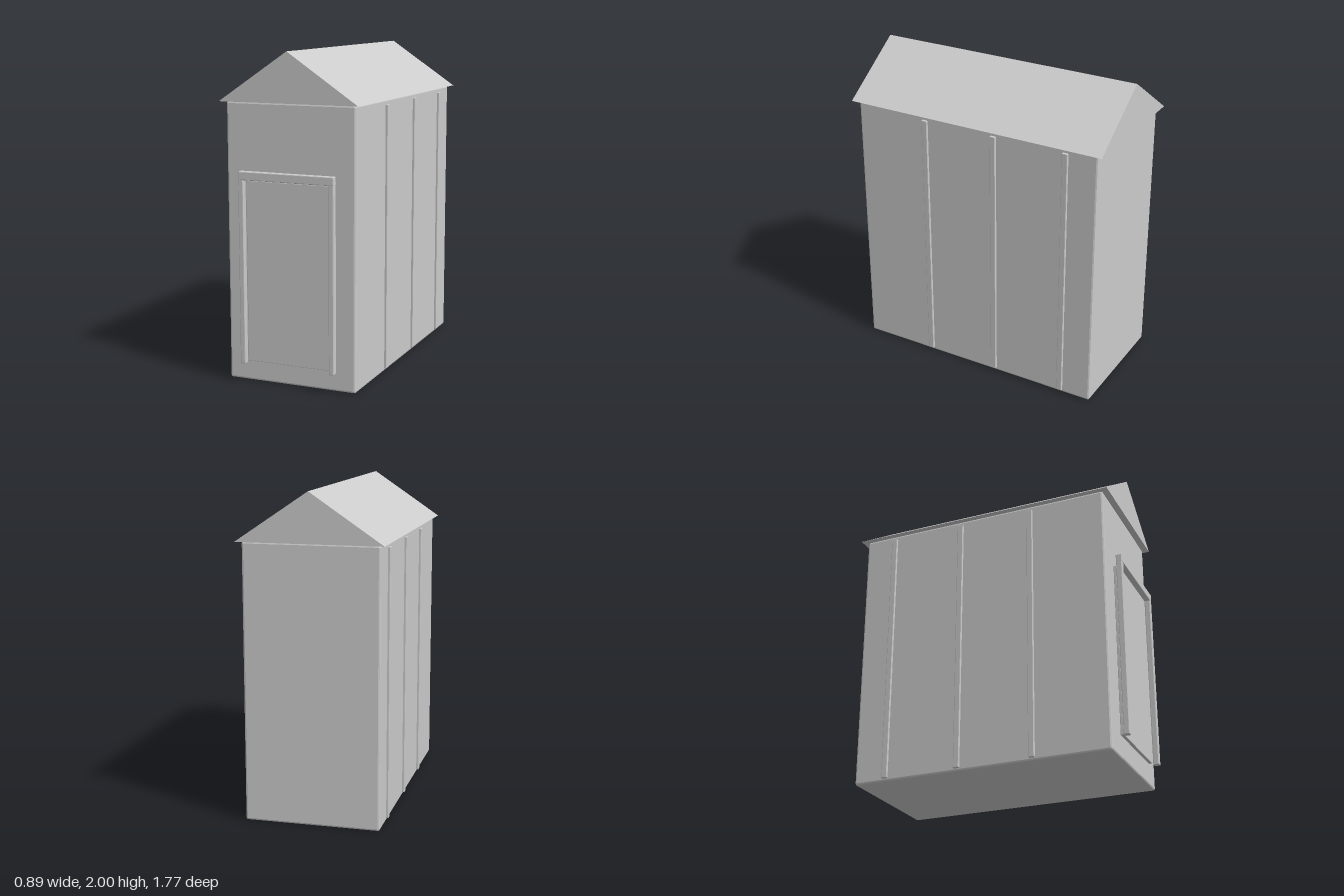
import * as THREE from 'three';
import { RoundedBoxGeometry } from 'three/addons/geometries/RoundedBoxGeometry.js';

const material = new THREE.MeshStandardMaterial({ color: 0xcccccc, flatShading: true });

// Box with slightly chamfered edges, given by its limits on each axis
function chamferedBox(name, [x0, x1], [y0, y1], [z0, z1], bevel) {
  const geometry = new RoundedBoxGeometry(x1 - x0, y1 - y0, z1 - z0, 1, bevel);
  const mesh = new THREE.Mesh(geometry, material);
  mesh.name = name;
  mesh.position.set((x0 + x1) / 2, (y0 + y1) / 2, (z0 + z1) / 2);
  return mesh;
}

export function createModel() {
  const shed = new THREE.Group();
  shed.name = 'shed';

  // Walls
  shed.add(chamferedBox('walls', [-0.415, 0.415], [0, 1.7], [-0.847, 0.81], 0.012));

  // Gabled roof: a closed triangular prism
  const gable = new THREE.Shape();
  gable.moveTo(-0.445, 1.7);
  gable.lineTo(0.445, 1.7);
  gable.lineTo(0, 2);
  gable.closePath();
  const roof = new THREE.Mesh(
    new THREE.ExtrudeGeometry(gable, { depth: 1.73, bevelEnabled: false }), material);
  roof.name = 'roof';
  roof.position.z = -0.883;
  shed.add(roof);

  // Upright battens along both side walls
  for (const side of [-1, 1]) {
    for (const z of [0.322, -0.159, -0.64]) {
      const x = side < 0 ? [-0.43, -0.405] : [0.405, 0.43];
      shed.add(chamferedBox('sideBatten', x, [0.018, 1.67], [z - 0.019, z + 0.019], 0.004));
    }
  }

  // Door panel with its raised frame
  const door = new THREE.Group();
  door.name = 'door';
  door.add(chamferedBox('doorPanel', [-0.276, 0.276], [0.13, 1.236], [0.817, 0.838], 0.003));
  door.add(chamferedBox('leftPost', [0.274, 0.307], [0.12, 1.293], [0.844, 0.882], 0.005));
  door.add(chamferedBox('rightPost', [-0.307, -0.274], [0.12, 1.293], [0.844, 0.882], 0.005));
  door.add(chamferedBox('lintel', [-0.307, 0.307], [1.243, 1.295], [0.843, 0.883], 0.005));
  shed.add(door);

  return shed;
}
